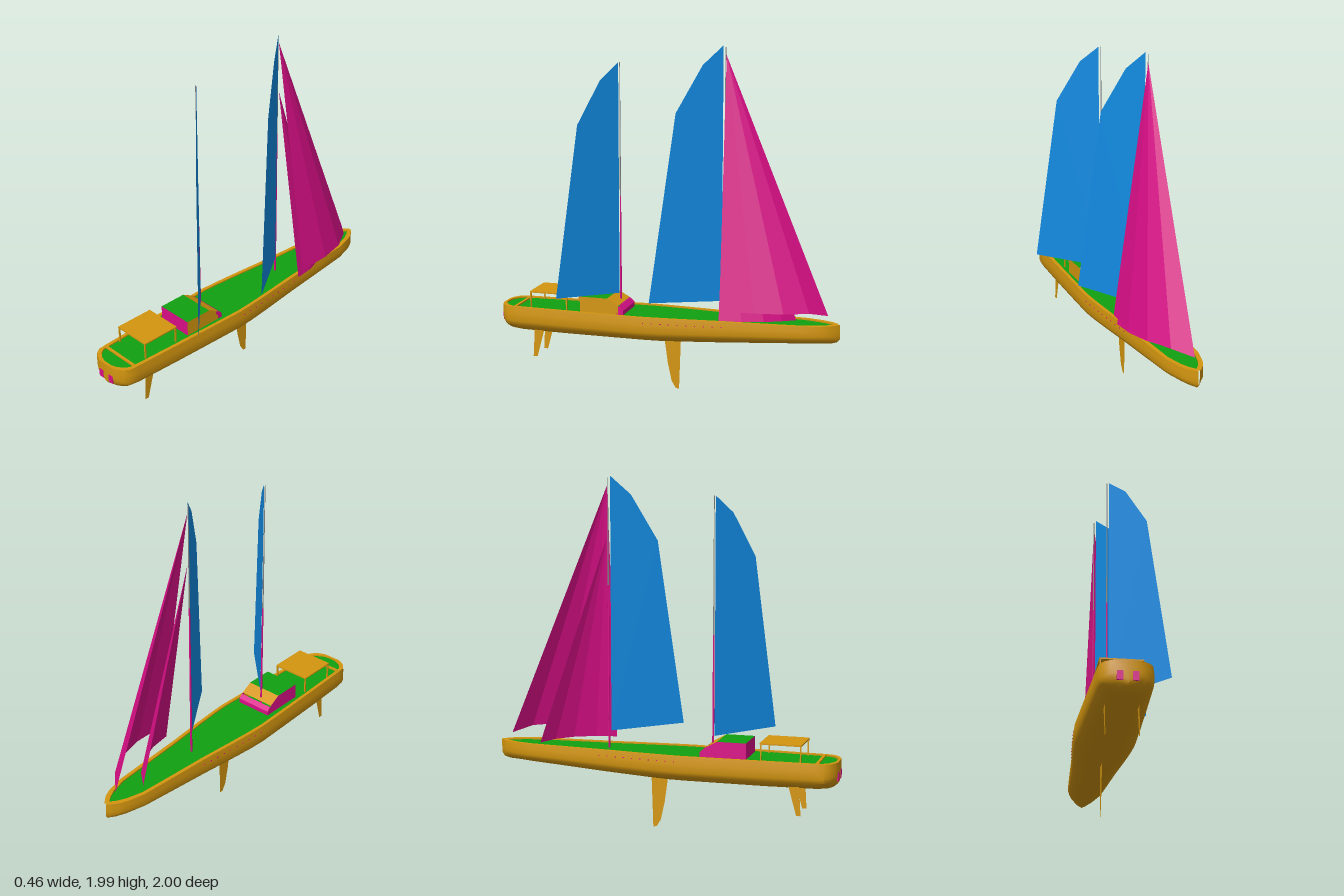
import * as THREE from 'three';
import { toCreasedNormals } from 'three/addons/utils/BufferGeometryUtils.js';

const CX = -0.065; // centreline of the hull
const mat = (name, color, side = THREE.FrontSide) => {
  const m = new THREE.MeshStandardMaterial({ color, side });
  m.name = name;
  return m;
};

// Hull stations: z, half width, keel height
const STATIONS = [
  [-1, 0.004, 0.375], [-0.985, 0.02, 0.355], [-0.95, 0.05, 0.345], [-0.9, 0.074, 0.342],
  [-0.8, 0.1, 0.335], [-0.6, 0.114, 0.322], [-0.35, 0.13, 0.305], [-0.1, 0.153, 0.292],
  [0.03, 0.163, 0.286], [0.13, 0.168, 0.285], [0.35, 0.161, 0.285], [0.6, 0.152, 0.285],
  [0.88, 0.141, 0.289], [0.935, 0.136, 0.296], [0.965, 0.115, 0.308], [0.985, 0.085, 0.325],
  [0.996, 0.055, 0.34], [0.997, 0, 0.34],
];
// Half section: fraction of width, fraction of depth
const SECTION = [[0.97, 0], [1, 0.25], [1, 0.52], [0.94, 0.66], [0.72, 0.81], [0.4, 0.92], [0, 1]];
const RIM = 0.457, DECK = 0.449;
const inner = (half) => Math.max(0, half - 0.024);

function halfWidthAt(z) {
  const i = STATIONS.findIndex((s) => s[0] >= z);
  const [a, b] = [STATIONS[i - 1], STATIONS[i]];
  return a[1] + ((b[1] - a[1]) * (z - a[0])) / (b[0] - a[0]);
}

// Skin over the stations, including the rim and its inner wall
function hullGeometry() {
  const pos = [], index = [];
  let n = 0;
  for (const [z, half, keel] of STATIONS) {
    const side = [[inner(half), DECK - 0.005, z * 0.985], [inner(half), RIM, z * 0.985]];
    for (const [w, d] of SECTION) side.push([half * w, RIM - d * (RIM - keel), z]);
    const ring = side.concat(side.slice(0, -1).reverse().map(([x, y, zz]) => [-x, y, zz]));
    n = ring.length;
    for (const [x, y, zz] of ring) pos.push(CX + x, y, zz);
  }
  for (let i = 0; i < STATIONS.length - 1; i++) {
    for (let j = 0; j < n - 1; j++) {
      const a = i * n + j, b = a + n;
      index.push(a, b, a + 1, b, b + 1, a + 1);
    }
  }
  const g = new THREE.BufferGeometry();
  g.setAttribute('position', new THREE.Float32BufferAttribute(pos, 3));
  g.setIndex(index);
  return toCreasedNormals(g, 0.6);
}

// Flat facets fanned out from the first point
function fan(points) {
  const pos = [];
  for (let i = 1; i < points.length - 1; i++) pos.push(...points[0], ...points[i], ...points[i + 1]);
  const g = new THREE.BufferGeometry();
  g.setAttribute('position', new THREE.Float32BufferAttribute(pos, 3));
  g.computeVertexNormals();
  return g;
}

export function createModel() {
  const model = new THREE.Group();
  model.name = 'sailingBoat';
  const orange = mat('orange', 0xd4960f);
  const orangeThin = mat('orange', 0xd4960f, THREE.DoubleSide);
  orangeThin.name = 'orangeThin';
  const green = mat('deckGreen', 0x10a010);
  const pink = mat('pink', 0xdb0f88, THREE.DoubleSide);
  const blue = mat('sailBlue', 0x128ce4, THREE.DoubleSide);
  const grey = mat('mastGrey', 0x8c8c8c);

  const add = (name, geometry, material, x = 0, y = 0, z = 0) => {
    const mesh = new THREE.Mesh(geometry, material);
    mesh.name = name;
    mesh.position.set(x, y, z);
    model.add(mesh);
    return mesh;
  };
  const box = (name, material, w, h, d, x, y, z) => add(name, new THREE.BoxGeometry(w, h, d), material, x, y, z);

  // Hull and deck
  add('hull', hullGeometry(), orange);
  const outline = [1, -1].flatMap((s) => {
    const edge = STATIONS.map(([z, half]) => new THREE.Vector2(CX + s * inner(half), -z * 0.985));
    return s > 0 ? edge : edge.reverse();
  });
  add('deck', new THREE.ShapeGeometry(new THREE.Shape(outline)).rotateX(-Math.PI / 2), green, 0, DECK, 0);

  // Portholes along both sides
  for (const s of [1, -1]) {
    for (let i = 0; i < 10; i++) {
      const z = 0.1 - i * 0.05;
      box('porthole', pink, 0.004, 0.005, 0.007, CX + s * halfWidthAt(z), 0.425, z);
    }
  }
  // Stern windows
  for (const x of [-0.105, -0.027]) box('sternWindow', pink, 0.032, 0.048, 0.008, x, 0.376, 0.995);

  // Cabin: profile in (z, y), swept across the beam
  const x0 = -0.17, x1 = 0.048;
  const profile = [[0.495, DECK], [0.495, 0.54], [0.33, 0.54], [0.262, 0.502], [0.262, DECK]];
  const nose = [[0.275, DECK], [0.275, 0.505], [0.255, 0.497], [0.232, 0.475], [0.232, DECK]];
  const wall = (pts, x) => fan(pts.map(([z, y]) => [x, y, z]));
  const strip = ([za, ya], [zb, yb]) => fan([[x0, ya, za], [x1, ya, za], [x1, yb, zb], [x0, yb, zb]]);
  add('cabinLeftWall', wall(profile, x1), orangeThin);
  add('cabinRightWall', wall(profile, x0), pink);
  add('cabinAftWall', strip(profile[0], profile[1]), pink);
  add('cabinRoof', strip(profile[1], profile[2]), green);
  add('cabinWindscreen', strip(profile[2], profile[3]), orangeThin);
  for (const x of [x0, x1]) add('cabinNoseSide', wall(nose, x), pink);
  for (let i = 2; i < 4; i++) add('cabinNose', strip(nose[i], nose[i + 1]), pink);

  // Cockpit canopy on four posts
  box('canopy', orange, 0.226, 0.008, 0.232, -0.068, 0.546, 0.69);
  for (const x of [-0.176, 0.04]) {
    for (const z of [0.58, 0.801]) box('canopyPost', orange, 0.008, 0.1, 0.008, x, 0.496, z);
  }
  box('sternRail', orange, 0.235, 0.008, 0.016, -0.068, 0.455, 0.893);

  // Keel and twin rudders as thin fins
  const fin = (name, x, pts) => add(name, fan(pts.map(([z, y]) => [x, y, z])), orangeThin);
  fin('keel', CX, [[-0.08, 0.295], [0.018, 0.295], [-0.002, 0.15], [-0.025, 0.045], [-0.05, 0.003], [-0.07, 0]]);
  for (const x of [-0.15, 0.02]) {
    fin('rudder', x, [[0.73, 0.315], [0.79, 0.315], [0.8, 0.15], [0.775, 0.15]]);
  }

  // Masts: pink lower part, slim grey upper part
  const mast = (name, z, split, top) => {
    add(name + 'Lower', new THREE.CylinderGeometry(0.004, 0.006, split - DECK, 8), pink, -0.076, (split + DECK) / 2, z);
    add(name + 'Upper', new THREE.CylinderGeometry(0.002, 0.004, top - split, 8), grey, -0.076, (split + top) / 2, z);
  };
  mast('mainMast', -0.33, 1.38, 1.98);
  mast('mizzenMast', 0.285, 1.12, 1.885);

  // Flat sails swung out to the left: luff position, outward slope, (z, y) corners
  const boomSail = (name, luff, slope, pts) =>
    add(name, fan(pts.map(([z, y]) => [CX + (z - luff) * slope, y, z])), blue);
  boomSail('mainSail', -0.32, 0.67,
    [[-0.32, 0.545], [-0.32, 1.99], [-0.22, 1.885], [-0.09, 1.625], [0.04, 0.565]]);
  boomSail('mizzenSail', 0.29, 1.02,
    [[0.29, 0.55], [0.29, 1.885], [0.37, 1.79], [0.472, 1.545], [0.574, 0.565]]);

  // Headsails: facets from the head to a curved foot
  add('outerJib', fan([[-0.075, 1.935, -0.335], [-0.075, 0.5, -0.93], [0.02, 0.53, -0.84],
    [0.095, 0.535, -0.71], [0.13, 0.538, -0.55], [0.13, 0.538, -0.355]]), pink);
  add('innerJib', fan([[-0.075, 1.64, -0.34], [-0.1, 0.455, -0.745], [-0.02, 0.465, -0.68],
    [0.045, 0.47, -0.59], [0.09, 0.473, -0.47], [0.105, 0.475, -0.345]]), pink);

  return model;
}
